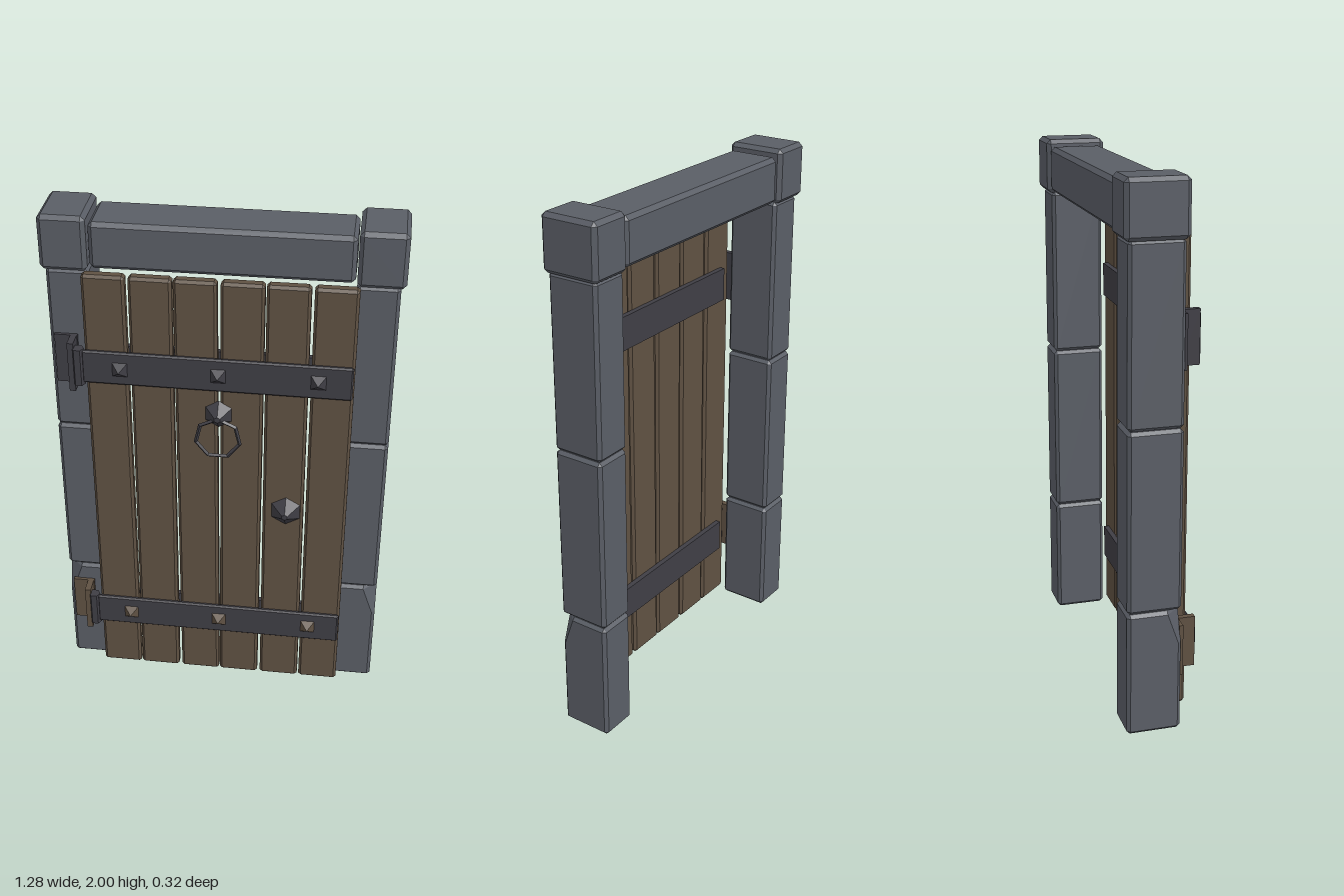
import * as THREE from 'three';
import { ConvexGeometry } from 'three/addons/geometries/ConvexGeometry.js';

const material = (name, color) => {
  const m = new THREE.MeshStandardMaterial({ color, flatShading: true });
  m.name = name;
  return m;
};

// Corner points of a box with chamfered edges, given its limits
function chamferPoints([x0, x1], [y0, y1], [z0, z1], b, skip = () => false) {
  const points = [];
  for (const sx of [-1, 1]) for (const sy of [-1, 1]) for (const sz of [-1, 1]) {
    if (skip(sx, sy, sz)) continue;
    const x = sx > 0 ? x1 : x0, y = sy > 0 ? y1 : y0, z = sz > 0 ? z1 : z0;
    points.push(
      new THREE.Vector3(x, y - sy * b, z - sz * b),
      new THREE.Vector3(x - sx * b, y, z - sz * b),
      new THREE.Vector3(x - sx * b, y - sy * b, z));
  }
  return points;
}

export function createModel() {
  const root = new THREE.Group();
  root.name = 'stoneFramedDoor';
  const stone = material('stone', 0x5a5e66);
  const wood = material('wood', 0x5f5142);
  const iron = material('iron', 0x3f3e45);

  const add = (name, geometry, mat, parent = root) => {
    const mesh = new THREE.Mesh(geometry, mat);
    mesh.name = name;
    parent.add(mesh);
    return mesh;
  };
  const block = (name, x, y, z, bevel, mat, parent) =>
    add(name, new ConvexGeometry(chamferPoints(x, y, z, bevel)), mat, parent);
  const plate = (name, x, y, z, mat, parent) => {
    const mesh = add(name, new THREE.BoxGeometry(x[1] - x[0], y[1] - y[0], z[1] - z[0]), mat, parent);
    mesh.position.set((x[0] + x[1]) / 2, (y[0] + y[1]) / 2, (z[0] + z[1]) / 2);
    return mesh;
  };

  // Stone posts: chipped foot block, two shaft blocks and a wider cap
  const depth = [-0.145, 0.055];
  for (const s of [-1, 1]) {
    const post = new THREE.Group();
    post.name = s > 0 ? 'leftPost' : 'rightPost';
    root.add(post);
    const span = (a, b) => (s > 0 ? [a, b] : [-b, -a]);
    const x = span(0.47, 0.622);

    const foot = chamferPoints(x, [0, 0.472], depth, 0.012,
      (sx, sy, sz) => sx === s && sy > 0 && sz > 0);
    foot.push(
      new THREE.Vector3(s * 0.57, 0.46, 0.055),
      new THREE.Vector3(s * 0.57, 0.472, 0.043),
      new THREE.Vector3(s * 0.61, 0.472, 0.003),
      new THREE.Vector3(s * 0.622, 0.46, 0.003),
      new THREE.Vector3(s * 0.622, 0.345, 0.043),
      new THREE.Vector3(s * 0.61, 0.345, 0.055));
    add('footBlock', new ConvexGeometry(foot), stone, post);

    block('middleBlock', x, [0.474, 1.146], depth, 0.012, stone, post);
    block('upperBlock', x, [1.148, 1.796], depth, 0.012, stone, post);
    block('cap', span(0.47, 0.64), [1.794, 2], [-0.162, 0.065], 0.015, stone, post);
  }
  block('lintel', [-0.465, 0.465], [1.8, 1.975], [-0.152, 0.05], 0.015, stone);

  // Door leaf: six slightly uneven planks
  const tilts = [0.0012, -0.0025, 0.0025, -0.0025, 0.0015, -0.001];
  tilts.forEach((tilt, i) => {
    const plank = block('plank', [-0.077, 0.077], [-0.894, 0.894], [0.07, 0.116], 0.01, wood);
    plank.position.set(-0.406 + i * 0.1625, 0.915, 0);
    plank.rotation.z = tilt;
  });

  // Iron straps with studs, back braces and hinges
  const addStrap = (name, y, trim) => {
    const g = new THREE.Group();
    g.name = name;
    g.position.y = y;
    root.add(g);
    const strap = block('strap', [-0.495, 0.48], [-0.066, 0.066], [0.112, 0.131], 0.006, iron, g);
    strap.rotation.z = -0.004;
    plate('backBrace', [-0.425, 0.43], [-0.065, 0.065], [0.05, 0.071], iron, g);

    for (const x of [-0.356, 0, 0.358]) {
      const stud = add('stud', new THREE.ConeGeometry(0.04, 0.031, 4, 1).rotateY(Math.PI / 4).rotateX(Math.PI / 2), trim, g);
      stud.position.set(x, 0, 0.1455);
    }
    plate('hingePlate', [-0.604, -0.52], [-0.102, 0.094], [0.053, 0.067], trim, g);
    plate('hingeArm', [-0.545, -0.522], [-0.102, 0.094], [0.06, 0.13], trim, g);
    const pin = add('hingePin', new THREE.CylinderGeometry(0.023, 0.023, 0.146, 6).rotateY(Math.PI / 6), iron, g);
    pin.position.set(-0.508, 0, 0.12);
  };
  addStrap('upperStrap', 1.448, iron);
  addStrap('lowerStrap', 0.308, wood);

  // Six-sided boss, pointing forward
  const boss = (name, radius, tip, x, y) => {
    const mesh = add(name, new THREE.CylinderGeometry(tip, radius, 0.045, 6).rotateX(Math.PI / 2), iron);
    mesh.position.set(x, y, 0.1375);
  };
  boss('knockerBoss', 0.056, 0.012, 0, 1.28);
  boss('doorKnob', 0.063, 0.012, 0.255, 0.865);

  // Faceted knocker ring
  const ring = add('knockerRing', new THREE.TorusGeometry(0.083, 0.008, 4, 7).rotateZ(Math.PI / 2), iron);
  ring.position.set(0, 1.192, 0.144);

  return root;
}
